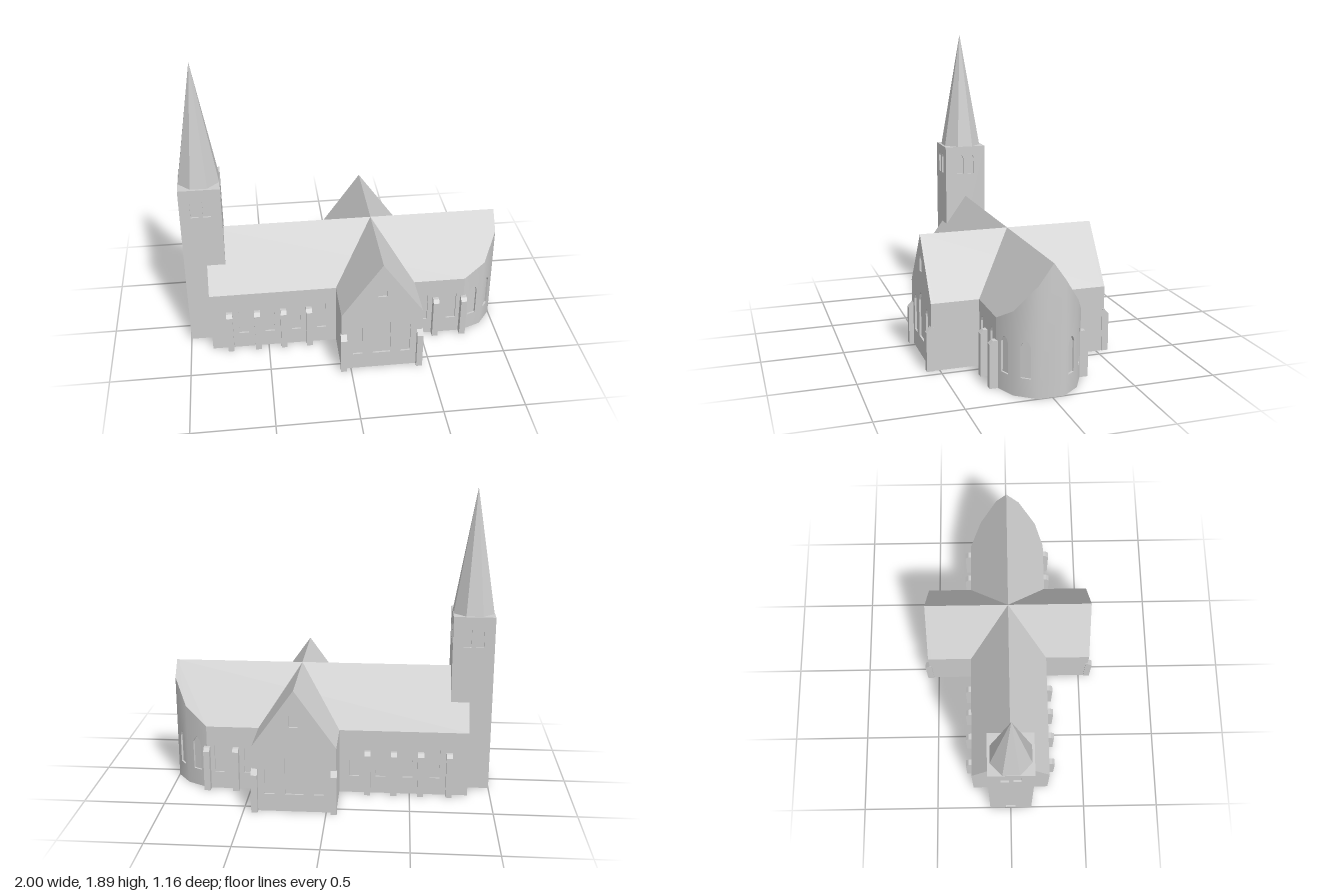
import * as THREE from 'three';

const RIDGE = 0.77, EAVE = 0.415, HALF = 0.255;
const roofY = (z) => RIDGE - (RIDGE - EAVE) * Math.abs(z) / HALF;

export function createModel() {
  const church = new THREE.Group();
  church.name = 'church';
  const stone = new THREE.MeshStandardMaterial({ color: 0xcccccc, side: THREE.DoubleSide });
  stone.name = 'stone';

  const add = (name, geometry, parent = church) => {
    const m = new THREE.Mesh(geometry, stone);
    m.name = name;
    parent.add(m);
    return m;
  };

  // Outline of a pointed-arch window: centre u, bottom, tip, width
  const archPoints = ([u, y0, y1, w]) => {
    const h = w / 2, s = y1 - w * 0.62, m = y1 - w * 0.24;
    return [[u - h, y0], [u + h, y0], [u + h, s], [u + h * 0.62, m], [u, y1], [u - h * 0.62, m], [u - h, s]]
      .map((p) => new THREE.Vector2(...p));
  };

  // Upright wall from plan point a to b (outside faces right of travel as seen from above),
  // with a top outline running from b back to a, and recessed windows
  const wallAngle = (a, b) => Math.atan2(-(b[1] - a[1]), b[0] - a[0]);
  const wall = (name, a, b, top, windows = [], bend = null) => {
    const len = Math.hypot(b[0] - a[0], b[1] - a[1]);
    const g = new THREE.Group();
    g.name = name;
    g.position.set(a[0], 0, a[1]);
    g.rotation.y = wallAngle(a, b);
    const outline = [[0, 0], [len, 0], ...top(len)].map((p) => new THREE.Vector2(...p));
    const shape = new THREE.Shape(outline);
    windows.forEach((w) => shape.holes.push(new THREE.Path(archPoints(w))));
    const geo = new THREE.ExtrudeGeometry(shape, { depth: 0.02, bevelEnabled: false });
    geo.translate(0, 0, -0.02);
    if (bend) {
      // Blend the outer normals from one corner to the next for a rounded look
      const n = geo.attributes.normal, p = geo.attributes.position;
      for (let i = 0; i < n.count; i++) {
        if (n.getZ(i) < 0.9) continue;
        const d = THREE.MathUtils.lerp(bend[0], bend[1], p.getX(i) / len);
        n.setXYZ(i, Math.sin(d), 0, Math.cos(d));
      }
    }
    add(name + 'Face', geo, g);
    windows.forEach((w) => {
      const pane = new THREE.ShapeGeometry(new THREE.Shape(archPoints(w)));
      add('windowPane', pane.translate(0, 0, -0.012), g);
    });
    church.add(g);
  };
  const flat = (h) => (len) => [[len, h], [0, h]];
  const gable = (len) => [[len, EAVE], [len / 2, RIDGE], [0, EAVE]];

  // Flat convex polygon as a triangle fan
  const fan = (name, pts) => {
    const v = [];
    for (let i = 1; i < pts.length - 1; i++) v.push(...pts[0], ...pts[i], ...pts[i + 1]);
    const geo = new THREE.BufferGeometry();
    geo.setAttribute('position', new THREE.Float32BufferAttribute(v, 3));
    geo.computeVertexNormals();
    add(name, geo);
  };

  // Nave
  const W = -0.86, E = 0.775;
  const naveX = [-0.655, -0.487, -0.318, -0.155, 0.51, 0.697];
  const naveWin = (x0, dir) => naveX.map((x) => [(x - x0) * dir, 0.11, 0.335, 0.06]);
  wall('naveFrontWall', [W, HALF], [E, HALF], flat(EAVE), naveWin(W, 1));
  wall('naveBackWall', [E, -HALF], [W, -HALF], flat(EAVE), naveWin(E, -1));
  wall('naveWestGable', [W, -HALF], [W, HALF], gable);

  // Apse: many-sided east end cut off by the nave roof
  const apse = [[E, HALF], [0.912, 0.2], [1, 0.085], [1, -0.07], [0.915, -0.18], [E, -HALF]];
  const angles = apse.slice(0, -1).map((a, i) => wallAngle(a, apse[i + 1]));
  angles.forEach((ang, i) => {
    const a = apse[i], b = apse[i + 1];
    const prev = i > 0 ? (angles[i - 1] - ang) / 2 : 0;
    const next = i < 4 ? (angles[i + 1] - ang) / 2 : 0;
    const mid = i === 2;
    const len = Math.hypot(b[0] - a[0], b[1] - a[1]);
    const top = (l) => [[l, roofY(b[1])], ...(mid ? [[a[1], RIDGE]] : []), [0, roofY(a[1])]];
    wall('apseWall', a, b, top, mid ? [] : [[len / 2, 0.11, 0.33, 0.06]], [prev, next]);
  });

  // Nave roof, following the apse outline
  const on = ([x, z]) => [x, roofY(z), z];
  fan('naveRoofFront', [[W, 0], [W, HALF], ...apse.slice(0, 3), [1, 0]].map(on));
  fan('naveRoofBack', [[1, 0], ...apse.slice(3), [W, -HALF], [W, 0]].map(on));

  // Transept
  const TL = -0.06, TR = 0.445, TM = (TL + TR) / 2, TZ = 0.548;
  const gableWin = [
    [0.103, 0.11, 0.35, 0.06], [0.2525, 0.11, 0.41, 0.11],
    [0.402, 0.11, 0.35, 0.06], [0.2525, 0.54, 0.645, 0.054],
  ];
  wall('transeptFrontGable', [TL, TZ], [TR, TZ], gable, gableWin);
  wall('transeptBackGable', [TR, -TZ], [TL, -TZ], gable, gableWin);
  wall('transeptEastWall', [TR, TZ], [TR, -TZ], flat(EAVE));
  wall('transeptWestWall', [TL, -TZ], [TL, TZ], flat(EAVE));
  fan('transeptRoofEast', [[TM, RIDGE, TZ], [TR, EAVE, TZ], [TR, EAVE, -TZ], [TM, RIDGE, -TZ]]);
  fan('transeptRoofWest', [[TM, RIDGE, -TZ], [TL, EAVE, -TZ], [TL, EAVE, TZ], [TM, RIDGE, TZ]]);

  // Buttresses: side profile (distance from axis, height) extruded across the width
  const buttress = (x, side, profile, width) => {
    const shape = new THREE.Shape(profile.map((p) => new THREE.Vector2(...p)));
    const geo = new THREE.ExtrudeGeometry(shape, { depth: width, bevelEnabled: false });
    geo.translate(0, 0, -width / 2);
    const m = add('buttress', geo);
    m.position.x = x;
    m.rotation.y = -side * Math.PI / 2;
  };
  const naveProfile = [[0.24, 0], [0.298, 0], [0.298, 0.262], [0.278, 0.283], [0.24, 0.283]];
  const cornerProfile = [[0.535, 0], [0.578, 0], [0.578, 0.24], [0.548, 0.272], [0.535, 0.272]];
  for (const side of [1, -1]) {
    for (const x of [-0.743, -0.567, -0.4, -0.236, 0.59, 0.772]) buttress(x, side, naveProfile, 0.038);
    for (const x of [-0.046, 0.431]) buttress(x, side, cornerProfile, 0.038);
  }

  // Tower with paired belfry windows on each side and a door to the west
  const x0 = -1, x1 = -0.745, tz = 0.14, TH = 1.122;
  const pair = (c) => [-1, 1].map((s) => [c + s * 0.038, 0.93, 1.07, 0.048]);
  const px = pair((x1 - x0) / 2), pz = pair(tz);
  wall('towerFront', [x0, tz], [x1, tz], flat(TH), px);
  wall('towerEast', [x1, tz], [x1, -tz], flat(TH), pz);
  wall('towerBack', [x1, -tz], [x0, -tz], flat(TH), px);
  wall('towerWest', [x0, -tz], [x0, tz], flat(TH), [...pz, [tz, 0.02, 0.16, 0.065]]);
  fan('towerTop', [[x0, TH, tz], [x1, TH, tz], [x1, TH, -tz], [x0, TH, -tz]]);

  // Eight-sided spire
  const cone = new THREE.ConeGeometry(0.135, 0.766, 8, 1).rotateY(Math.PI / 8).toNonIndexed();
  cone.computeVertexNormals();
  add('spire', cone).position.set(-0.8725, TH + 0.383, 0);

  // Underside
  const base = new THREE.Shape([
    [x0, tz], [W, tz], [W, HALF], [TL, HALF], [TL, TZ], [TR, TZ], [TR, HALF], ...apse,
    [TR, -HALF], [TR, -TZ], [TL, -TZ], [TL, -HALF], [W, -HALF], [W, -tz], [x0, -tz],
  ].map((p) => new THREE.Vector2(...p)));
  add('underside', new THREE.ShapeGeometry(base).rotateX(Math.PI / 2));

  return church;
}
